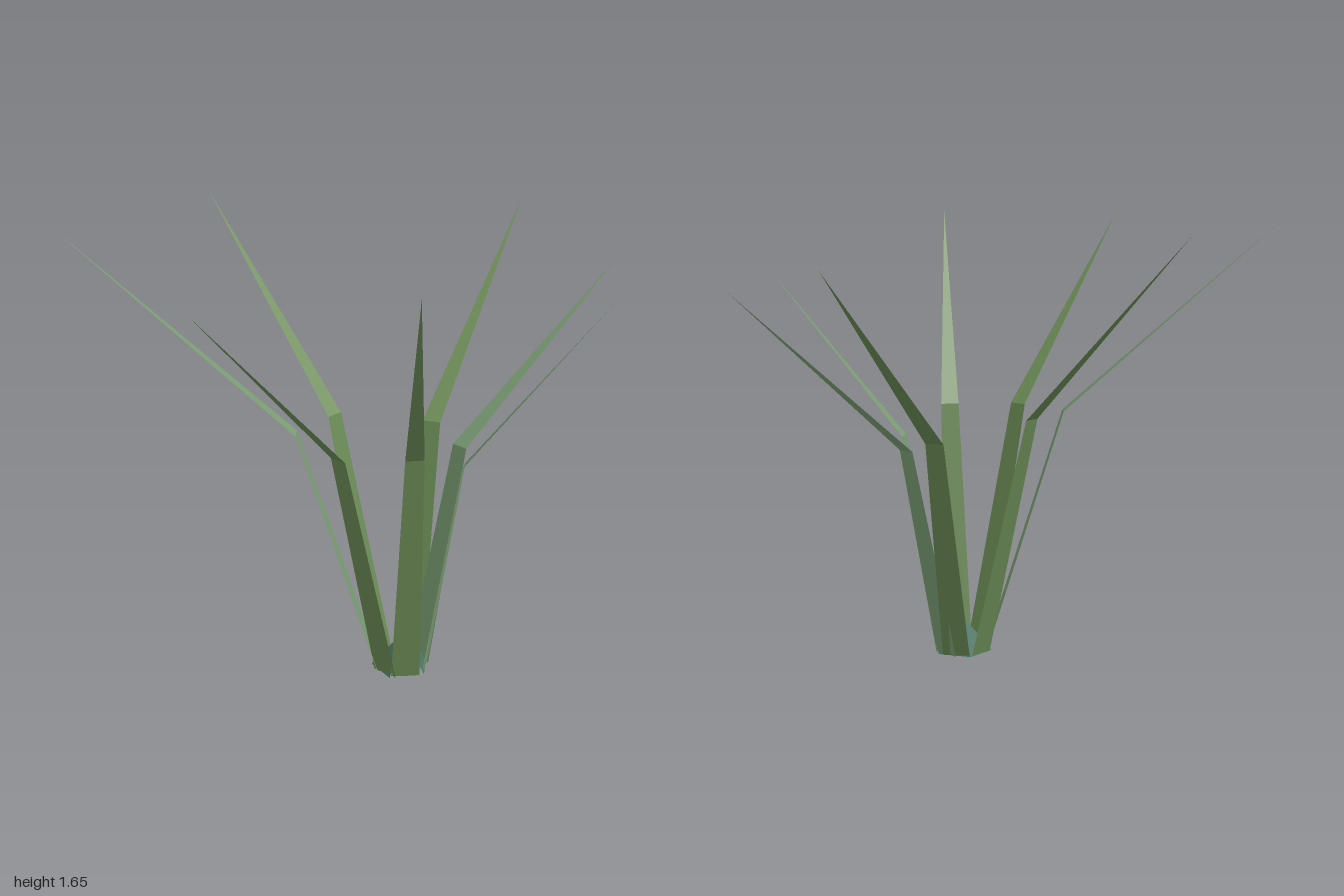
import * as THREE from 'three';

const CENTRE = new THREE.Vector3(0, 0, 0.21);

// One folded leaf: a tapering strip from the root to the bend, then a point.
function makeBlade(bend, tip, material) {
  const out = new THREE.Vector3(bend.x - CENTRE.x, 0, bend.z - CENTRE.z).normalize();
  const side = new THREE.Vector3(out.z, 0, -out.x);
  const root = CENTRE.clone().addScaledVector(out, 0.088);
  const edge = (p, half) => p.clone().addScaledVector(side, half);
  const a = edge(root, -0.053), b = edge(root, 0.053);
  const c = edge(bend, -0.034), d = edge(bend, 0.034);
  const geometry = new THREE.BufferGeometry().setFromPoints([a, b, d, a, d, c, c, d, tip]);
  geometry.computeVertexNormals();
  return new THREE.Mesh(geometry, material);
}

export function createModel() {
  const model = new THREE.Group();
  model.name = 'spikyPlant';

  const leafMaterial = (color) => new THREE.MeshStandardMaterial({
    color, flatShading: true, side: THREE.DoubleSide,
  });
  const olive = leafMaterial(0x6a8a55);
  const sage = leafMaterial(0x789a72);

  // Leaves: bend position, tip position, colour
  const blades = [
    [[-0.10, 0.915, -0.10], [-0.22, 1.61, -0.85], olive],
    [[-0.32, 0.92, 0.01], [-1.0, 1.65, -0.46], sage],
    [[0.265, 0.845, -0.015], [0.97, 1.51, -0.47], olive],
    [[0.28, 0.80, 0.155], [1.0, 1.41, 0.12], sage],
    [[0.16, 0.82, 0.365], [0.56, 1.45, 0.68], sage],
    [[-0.09, 0.915, 0.437], [-0.33, 1.64, 0.85], olive],
    [[-0.315, 0.915, 0.30], [-0.98, 1.61, 0.57], olive],
  ];
  blades.forEach(([bend, tip, material], i) => {
    const blade = makeBlade(new THREE.Vector3(...bend), new THREE.Vector3(...tip), material);
    blade.name = `leaf${i + 1}`;
    model.add(blade);
  });

  // Five-sided crown at the root, one corner towards +x
  const crown = new THREE.Mesh(
    new THREE.ConeGeometry(0.11, 0.13, 5).rotateY(Math.PI / 2),
    new THREE.MeshStandardMaterial({ color: 0x4a7262, flatShading: true }),
  );
  crown.name = 'rootCrown';
  crown.position.set(CENTRE.x, 0.065, CENTRE.z);
  model.add(crown);

  return model;
}
